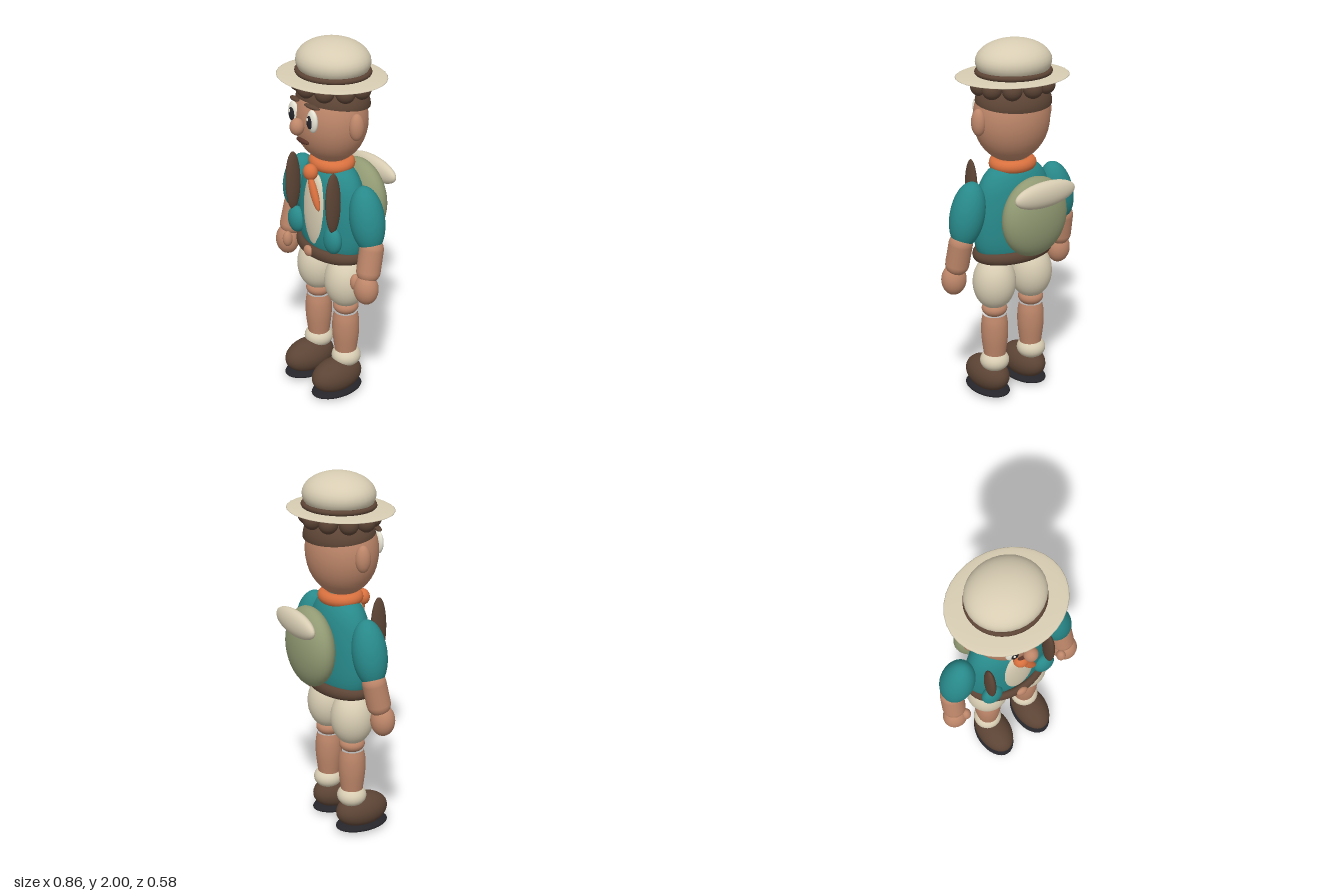
import * as THREE from 'three';

const mat = (name, color) => {
  const m = new THREE.MeshStandardMaterial({ color });
  m.name = name;
  return m;
};

export function createModel() {
  const skin = mat('skin', 0xbd8669), teal = mat('teal cloth', 0x28898a), cream = mat('cream cloth', 0xd8cdb3);
  const brown = mat('brown leather', 0x5c4435), orange = mat('orange scarf', 0xd9713f), olive = mat('olive canvas', 0x919a73);
  const black = mat('black rubber', 0x25252a), white = mat('eye white', 0xe9e6d6), lip = mat('dark lips', 0x593429);

  const model = new THREE.Group();
  model.name = 'explorer';
  const add = (name, geo, m, pos, scale = [1, 1, 1], rot = [0, 0, 0]) => {
    const mesh = new THREE.Mesh(geo, m);
    mesh.name = name;
    mesh.position.set(...pos);
    mesh.scale.set(...scale);
    mesh.rotation.set(...rot);
    model.add(mesh);
    return mesh;
  };
  const ball = new THREE.SphereGeometry(1, 32, 20);
  const blob = (name, m, pos, radii, rot) => add(name, ball, m, pos, radii, rot);
  // Horizontal ring with separate outer x and z radii
  const ring = (name, m, pos, rx, rz, tube) => {
    const geo = new THREE.TorusGeometry(rx - tube, tube, 14, 40).rotateX(Math.PI / 2);
    return add(name, geo, m, pos, [1, 1, rz / rx]);
  };
  const lathe = (pts) => new THREE.LatheGeometry(
    new THREE.SplineCurve(pts.map(p => new THREE.Vector2(...p))).getPoints(30)
      .map(p => new THREE.Vector2(Math.max(p.x, 0), p.y)), 36);

  // Hat
  blob('hatCrown', cream, [0, 1.885, 0.011], [0.205, 0.113, 0.186]);
  ring('hatBand', brown, [0, 1.83, 0.011], 0.208, 0.192, 0.014);
  blob('hatBrim', cream, [0, 1.806, 0.02], [0.31, 0.014, 0.27]);

  // Head and hair
  blob('head', skin, [0, 1.585, 0.028], [0.212, 0.24, 0.187]);
  const cap = new THREE.SphereGeometry(1, 36, 14, 0, Math.PI * 2, 0, Math.PI / 2);
  add('hairCap', cap, brown, [0, 1.672, 0.012], [0.212, 0.13, 0.182], [-0.12, 0, 0]).material.side = THREE.DoubleSide;
  for (let i = 0; i < 10; i++) {
    const a = i * Math.PI / 5;
    blob('hairCurl', brown, [0.185 * Math.sin(a), 1.765, 0.015 + 0.16 * Math.cos(a)], [0.052, 0.05, 0.05]);
  }
  blob('nose', skin, [0, 1.575, 0.237], [0.038, 0.045, 0.038]);
  blob('mouth', lip, [0, 1.49, 0.203], [0.052, 0.013, 0.016]);

  // Torso, shirt front and belt
  const torso = lathe([[0, 0.78], [0.12, 0.795], [0.2, 0.84], [0.235, 0.9], [0.243, 1.0],
    [0.232, 1.14], [0.2, 1.255], [0.13, 1.325], [0, 1.345]]);
  add('torso', torso, teal, [0, 0, 0.016], [1, 1, 0.56]);
  blob('shirtFront', cream, [0, 1.075, 0.125], [0.094, 0.218, 0.04]);
  ring('belt', brown, [0, 0.85, 0.02], 0.246, 0.16, 0.033);
  blob('beltBuckle', skin, [0, 0.853, 0.175], [0.034, 0.03, 0.02]);

  // Neckerchief
  ring('scarf', orange, [0, 1.336, 0.02], 0.132, 0.117, 0.034);
  blob('scarfKnot', orange, [0, 1.305, 0.157], [0.042, 0.044, 0.038]);
  blob('scarfTail', orange, [0.042, 1.205, 0.165], [0.024, 0.1, 0.02], [0, 0, 0.42]);

  // Backpack and bedroll
  blob('backpack', olive, [0, 1.085, -0.165], [0.205, 0.218, 0.1]);
  blob('bedroll', cream, [0, 1.23, -0.25], [0.197, 0.07, 0.043]);

  const leg = lathe([[0.055, 0.2], [0.06, 0.25], [0.073, 0.36], [0.073, 0.44], [0.064, 0.495]]);
  const forearm = new THREE.CapsuleGeometry(0.064, 0.12, 8, 24);

  for (const s of [1, -1]) {
    // Face pairs
    blob('ear', skin, [s * 0.218, 1.59, 0.025], [0.037, 0.072, 0.041]);
    blob('eye', white, [s * 0.083, 1.62, 0.2], [0.039, 0.06, 0.02]);
    blob('pupil', black, [s * 0.079, 1.617, 0.214], [0.023, 0.036, 0.012]);
    blob('eyeGlint', white, [s * 0.079 - 0.006, 1.632, 0.224], [0.007, 0.009, 0.005]);
    blob('eyebrow', brown, [s * 0.076, 1.695, 0.197], [0.05, 0.011, 0.018], [0, s * 0.25, s * -0.08]);

    // Straps and pockets
    blob('strap', brown, [s * 0.181, 1.188, 0.145], [0.025, 0.168, 0.046]);
    blob('pocket', teal, [s * 0.164, 0.968, 0.135], [0.061, 0.075, 0.042]);

    // Arm
    blob('sleeve', teal, [s * 0.303, 1.11, 0.017], [0.092, 0.178, 0.092], [0, 0, s * 0.24]);
    add('forearm', forearm, skin, [s * 0.35, 0.9, 0.032], [1, 1, 1], [-0.2, 0, s * 0.06]);
    blob('hand', skin, [s * 0.362, 0.747, 0.065], [0.069, 0.086, 0.064]);
    blob('thumb', skin, [s * 0.312, 0.775, 0.098], [0.027, 0.045, 0.028]);

    // Leg
    blob('shorts', cream, [s * 0.127, 0.685, 0.02], [0.118, 0.155, 0.117]);
    blob('knee', skin, [s * 0.127, 0.53, 0.02], [0.07, 0.048, 0.07]);
    add('shin', leg, skin, [s * 0.127, 0, 0.02]);
    blob('sock', cream, [s * 0.13, 0.215, 0.018], [0.081, 0.062, 0.081]);
    blob('shoe', brown, [s * 0.13, 0.113, 0.083], [0.098, 0.096, 0.155]);
    blob('sole', black, [s * 0.13, 0.027, 0.083], [0.1, 0.026, 0.156]);
  }
  return model;
}
